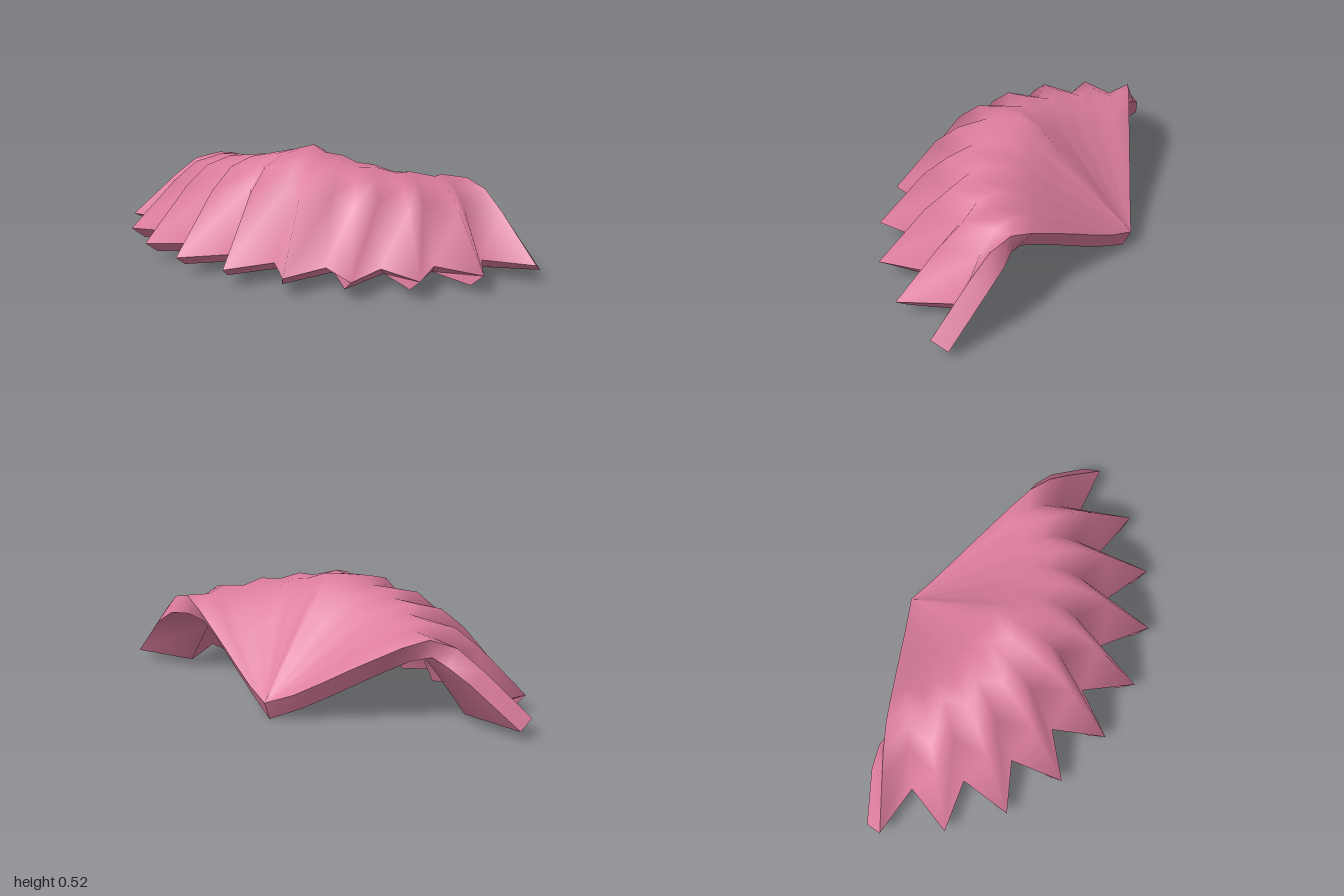
import * as THREE from 'three';

const PLEATS = 9;                       // half-steps on each side of the centre line
const STEP = THREE.MathUtils.degToRad(7.35);
const APEX_Z = -0.543;
const THICK = 0.085;

// radius, height on the centre line, height along the two side edges
const PROFILE = [
  [0, 0.08, 0.08], [0.12, 0.19, 0.12], [0.24, 0.30, 0.18], [0.363, 0.40, 0.245],
  [0.464, 0.485, 0.295], [0.565, 0.52, 0.345], [0.676, 0.502, 0.385],
  [0.787, 0.47, 0.355], [0.89, 0.38, 0.27], [1.09, 0.08, 0.08],
];
const R_MAX = 1.09;

// smooth surface through rows of points
function grid(rows) {
  const n = rows[0].length, index = [];
  for (let i = 0; i < rows.length - 1; i++) {
    for (let j = 0; j < n - 1; j++) {
      const a = i * n + j, b = a + n;
      index.push(a, b, a + 1, b, b + 1, a + 1);
    }
  }
  const geo = new THREE.BufferGeometry().setFromPoints(rows.flat());
  geo.setIndex(index);
  geo.computeVertexNormals();
  return geo;
}

// point of the pleated fan: odd steps are ridges, even steps are valleys
function fanPoint([r, yCentre, yEdge], j) {
  const valley = j % 2 === 0;
  const t = r / R_MAX;
  const radius = valley ? r - 0.2 * Math.pow(t, 2.2) : r;
  const y = THREE.MathUtils.lerp(yCentre, yEdge, Math.abs(j) / PLEATS);
  return new THREE.Vector3(radius * Math.sin(j * STEP), y, APEX_Z + radius * Math.cos(j * STEP));
}

export function createModel() {
  const group = new THREE.Group();
  group.name = 'pleatedShell';
  const pink = new THREE.MeshStandardMaterial({ color: 0xdb7c9c });
  pink.name = 'shellPink';
  const add = (name, geo) => {
    const mesh = new THREE.Mesh(geo, pink);
    mesh.name = name;
    group.add(mesh);
  };

  // outer skin
  const outer = PROFILE.map((ring) =>
    Array.from({ length: PLEATS * 2 + 1 }, (_, k) => fanPoint(ring, k - PLEATS)));
  const outerGeo = grid(outer);
  add('outerSkin', outerGeo);

  // inner skin, set in along the outer normals
  const normals = outerGeo.attributes.normal;
  const count = outer[0].length;
  const inner = outer.map((row, i) => row.map((p, j) => {
    if (i === 0) return p.clone().add(new THREE.Vector3(0, -0.08, 0.035));
    const n = new THREE.Vector3().fromBufferAttribute(normals, i * count + j);
    return p.clone().addScaledVector(n, -THICK);
  }));
  add('innerSkin', grid(inner.map((row) => [...row].reverse())));

  // zigzag front rim
  const last = PROFILE.length - 1;
  const rim = grid([outer[last], inner[last]]).toNonIndexed();
  rim.computeVertexNormals();
  add('frontRim', rim);

  // side edges from the hinge point to the rim
  const column = (rows, j) => rows.map((row) => row[j]);
  add('rightEdge', grid([column(outer, 0), column(inner, 0)]));
  add('leftEdge', grid([column(outer, count - 1).reverse(), column(inner, count - 1).reverse()]));

  return group;
}
